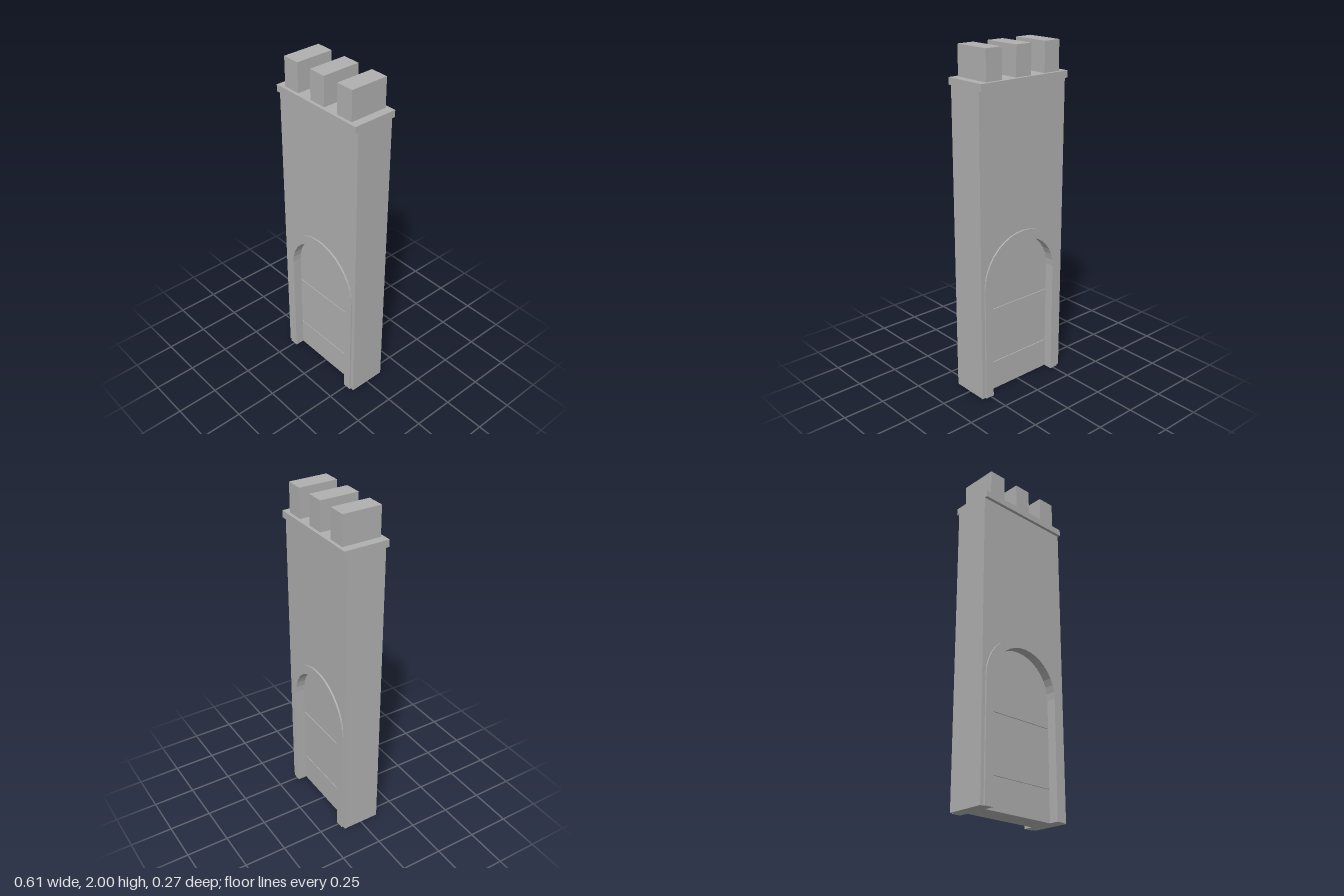
import * as THREE from 'three';

const HALF_W = 0.305, WALL_Z = 0.114, TRIM_Z = 0.124, DOOR_Z = 0.068;
const SPRING = 0.688, INNER_R = 0.23, OUTER_R = 0.283, WALL_TOP = 1.79;
const ARC_STEPS = 18;

// Points up the right side, over the round arch and down the left side
function archPoints(r, bottom = 0) {
  const pts = [new THREE.Vector2(r, bottom)];
  for (let i = 0; i <= ARC_STEPS; i++) {
    const a = (i / ARC_STEPS) * Math.PI;
    pts.push(new THREE.Vector2(r * Math.cos(a), SPRING + r * Math.sin(a)));
  }
  pts.push(new THREE.Vector2(-r, bottom));
  return pts;
}

export function createModel() {
  const group = new THREE.Group();
  const stone = new THREE.MeshStandardMaterial({ color: 0xb0b0b0 });
  stone.name = 'grey stone';

  const add = (name, geometry) => {
    const mesh = new THREE.Mesh(geometry, stone);
    mesh.name = name;
    group.add(mesh);
    return mesh;
  };
  const extrude = (name, points, z0, z1) => {
    const geometry = new THREE.ExtrudeGeometry(new THREE.Shape(points), { depth: z1 - z0, bevelEnabled: false });
    return add(name, geometry.translate(0, 0, z0));
  };
  const box = (name, w, y0, y1, d, x = 0) =>
    add(name, new THREE.BoxGeometry(w, y1 - y0, d)).position.set(x, (y0 + y1) / 2, 0);

  // Wall slab with an arched opening
  const corners = [[-HALF_W, 0], [-HALF_W, WALL_TOP], [HALF_W, WALL_TOP], [HALF_W, 0]]
    .map(([x, y]) => new THREE.Vector2(x, y));
  extrude('wall', [...corners, ...archPoints(INNER_R)], -WALL_Z, WALL_Z);

  // Raised arch trim on both faces
  const ring = [...archPoints(OUTER_R), ...archPoints(INNER_R).reverse()];
  extrude('frontArchTrim', ring, WALL_Z, TRIM_Z);
  extrude('backArchTrim', ring, -TRIM_Z, -WALL_Z);

  // Recessed door: a core behind three panels parted by narrow grooves
  const grooves = [0.18, 0.522], gap = 0.003;
  extrude('doorCore', archPoints(INNER_R), -DOOR_Z + 0.006, DOOR_Z - 0.006);
  box('lowerDoorPanel', INNER_R * 2, 0, grooves[0] - gap, DOOR_Z * 2);
  box('middleDoorPanel', INNER_R * 2, grooves[0] + gap, grooves[1] - gap, DOOR_Z * 2);
  extrude('upperDoorPanel', archPoints(INNER_R, grooves[1] + gap), -DOOR_Z, DOOR_Z);

  // Ledge and battlements
  box('ledge', HALF_W * 2, WALL_TOP, 1.83, 0.266);
  for (const x of [-0.204, 0, 0.204]) box('merlon', 0.106, 1.83, 2, WALL_Z * 2, x);

  return group;
}
